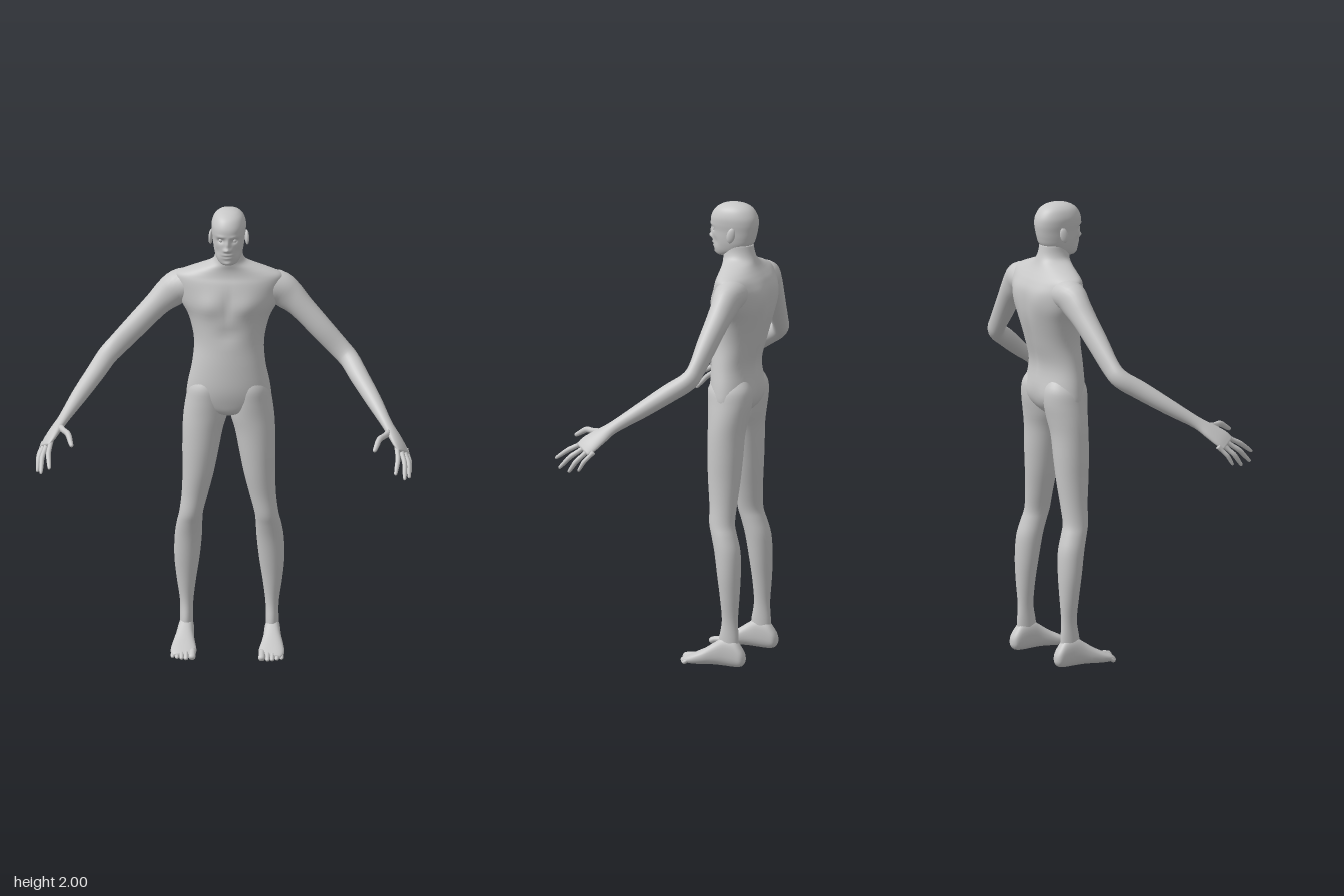
import * as THREE from 'three';

const skin = new THREE.MeshStandardMaterial({ color: 0xc8c8c8 });
skin.name = 'skin grey';

// Catmull-Rom smoothing of rows of numbers, k steps per span
function smooth(rows, k) {
  const out = [], last = rows.length - 1;
  const at = i => rows[Math.max(0, Math.min(last, i))];
  for (let i = 0; i < last; i++) for (let s = 0; s < k; s++) {
    const t = s / k, [a, b, c, d] = [at(i - 1), at(i), at(i + 1), at(i + 2)];
    out.push(b.map((p, j) => {
      const cubic = 3 * (p - c[j]) + d[j] - a[j];
      const square = 2 * a[j] - 5 * p + 4 * c[j] - d[j];
      return p + 0.5 * t * (c[j] - a[j] + t * (square + t * cubic));
    }));
  }
  out.push(rows[last]);
  return out;
}

// Skin a list of rings (arrays of Vector3) and close both ends
function skinRings(rings) {
  const n = rings[0].length, m = rings.length, pos = [], idx = [];
  rings.forEach(r => r.forEach(p => pos.push(p.x, p.y, p.z)));
  for (let i = 0; i < m - 1; i++) for (let j = 0; j < n; j++) {
    const a = i * n + j, b = i * n + (j + 1) % n;
    idx.push(a, a + n, b, b, a + n, b + n);
  }
  [0, m - 1].forEach((r, e) => {
    const c = new THREE.Vector3();
    rings[r].forEach(p => c.addScaledVector(p, 1 / n));
    const ci = pos.length / 3;
    pos.push(c.x, c.y, c.z);
    for (let j = 0; j < n; j++) {
      const a = r * n + j, b = r * n + (j + 1) % n;
      if (e) idx.push(a, ci, b); else idx.push(a, b, ci);
    }
  });
  const g = new THREE.BufferGeometry();
  g.setAttribute('position', new THREE.Float32BufferAttribute(pos, 3));
  g.setIndex(idx);
  g.computeVertexNormals();
  return g;
}

const power = (v, e) => Math.sign(v) * Math.abs(v) ** (2 / e);

// Rows: [station, x0, x1, b0, b1]; upright sections span x/z, lying ones x/y
function loft(rows, n, k, upright = true, e = 2) {
  return skinRings(smooth(rows, k).map(([s, x0, x1, b0, b1]) =>
    Array.from({ length: n }, (_, j) => {
      const t = j / n * Math.PI * 2;
      const x = (x0 + x1) / 2 + (x1 - x0) / 2 * power(Math.cos(t), e);
      const b = (b0 + b1) / 2 + (b1 - b0) / 2 * power(Math.sin(t), e);
      return upright ? new THREE.Vector3(x, s, b) : new THREE.Vector3(x, b, s);
    })));
}

// Rows: [x, y, z, radius across, radius through]; 'across' sets the wide axis
function limb(rows, across, n, k) {
  const r = smooth(rows, k), P = r.map(q => new THREE.Vector3(q[0], q[1], q[2]));
  return skinRings(r.map((q, i) => {
    const d = P[Math.min(i + 1, P.length - 1)].clone().sub(P[Math.max(i - 1, 0)]).normalize();
    const u = across.clone().addScaledVector(d, -across.dot(d)).normalize();
    const v = u.clone().cross(d);
    return Array.from({ length: n }, (_, j) => {
      const t = j / n * Math.PI * 2;
      return P[i].clone().addScaledVector(u, q[3] * Math.cos(t)).addScaledVector(v, q[4] * Math.sin(t));
    });
  }));
}

// Push soft bumps in z: [x, y, width, height, amount, side], mirrored in x
function sculpt(g, midZ, bumps) {
  const p = g.attributes.position;
  for (let i = 0; i < p.count; i++) {
    const x = Math.abs(p.getX(i)), y = p.getY(i), z = p.getZ(i);
    let dz = 0;
    for (const [bx, by, w, h, amount, side] of bumps) {
      const f = Math.min(1, Math.max(0, (z - midZ) * side / 0.05));
      const dx = (x - bx) / w, dy = (y - by) / h;
      dz += f * amount * Math.exp(-dx * dx - dy * dy);
    }
    p.setZ(i, z + dz);
  }
  g.computeVertexNormals();
  return g;
}

function mirrored(g) {
  const m = g.clone(), a = m.index.array;
  m.scale(-1, 1, 1);
  for (let i = 0; i < a.length; i += 3) [a[i + 1], a[i + 2]] = [a[i + 2], a[i + 1]];
  m.computeVertexNormals();
  return m;
}

export function createModel() {
  const model = new THREE.Group();
  model.name = 'standing figure';
  const add = (name, g) => {
    const mesh = new THREE.Mesh(g, skin);
    mesh.name = name;
    model.add(mesh);
  };
  const pair = (name, g) => { add('left' + name, g); add('right' + name, mirrored(g)); };
  const sym = rows => rows.map(([y, w, f, b]) => [y, -w, w, b, f]);

  // Torso and neck
  const torso = loft(sym([
    [1.07, 0.03, -0.15, -0.22], [1.09, 0.1, -0.115, -0.25], [1.13, 0.175, -0.1, -0.28],
    [1.2, 0.177, -0.088, -0.292], [1.3, 0.157, -0.09, -0.285], [1.4, 0.15, -0.098, -0.312],
    [1.5, 0.172, -0.102, -0.338], [1.57, 0.208, -0.105, -0.346], [1.63, 0.225, -0.112, -0.344],
    [1.67, 0.232, -0.122, -0.328], [1.695, 0.225, -0.132, -0.312], [1.715, 0.185, -0.136, -0.298],
    [1.735, 0.13, -0.136, -0.286], [1.757, 0.077, -0.132, -0.277], [1.785, 0.06, -0.13, -0.268],
    [1.82, 0.056, -0.13, -0.262],
  ]), 64, 4);
  add('torso', sculpt(torso, -0.21, [
    [0.08, 1.575, 0.055, 0.05, 0.014, 1], [0, 1.58, 0.018, 0.07, -0.006, 1],
    [0, 1.45, 0.05, 0.03, -0.008, 1], [0, 1.4, 0.02, 0.18, 0.012, -1],
    [0.09, 1.6, 0.045, 0.07, -0.008, -1], [0.08, 1.16, 0.06, 0.05, -0.01, -1],
  ]));

  // Head with a sculpted face
  const head = loft(sym([
    [1.764, 0.015, -0.115, -0.15], [1.772, 0.036, -0.1, -0.18], [1.79, 0.051, -0.09, -0.23],
    [1.82, 0.061, -0.083, -0.262], [1.85, 0.066, -0.081, -0.274], [1.88, 0.069, -0.079, -0.281],
    [1.91, 0.073, -0.074, -0.285], [1.94, 0.073, -0.077, -0.281], [1.97, 0.063, -0.094, -0.264],
    [1.988, 0.046, -0.12, -0.24], [1.997, 0.025, -0.15, -0.21], [2.0, 0.004, -0.177, -0.185],
  ]), 96, 6, true, 2.2);
  add('head', sculpt(head, -0.16, [
    [0, 1.868, 0.009, 0.022, 0.013, 1], [0, 1.845, 0.012, 0.009, 0.016, 1],
    [0.012, 1.842, 0.007, 0.006, 0.006, 1], [0.03, 1.884, 0.014, 0.01, -0.013, 1],
    [0.028, 1.904, 0.018, 0.006, 0.004, 1], [0, 1.82, 0.02, 0.005, 0.007, 1],
    [0, 1.813, 0.022, 0.003, -0.005, 1], [0, 1.806, 0.017, 0.005, 0.006, 1],
    [0, 1.779, 0.02, 0.01, 0.008, 1], [0.045, 1.83, 0.013, 0.02, -0.007, 1],
  ]));
  pair('Eye', new THREE.SphereGeometry(0.01, 16, 12).translate(0.029, 1.884, -0.1));
  pair('Ear', new THREE.SphereGeometry(1, 16, 12).scale(0.009, 0.033, 0.018)
    .rotateX(-0.2).rotateY(0.3).translate(0.077, 1.868, -0.192));

  // Arm running from the shoulder to the knuckles
  const across = new THREE.Vector3(0.04, -0.035, -0.07).normalize();
  pair('Arm', limb([
    [0.1, 1.645, -0.235, 0.08, 0.06], [0.2, 1.632, -0.235, 0.068, 0.072],
    [0.255, 1.595, -0.233, 0.056, 0.068], [0.31, 1.545, -0.225, 0.05, 0.055],
    [0.4, 1.45, -0.208, 0.042, 0.05], [0.475, 1.37, -0.195, 0.034, 0.046],
    [0.52, 1.325, -0.173, 0.038, 0.043], [0.565, 1.275, -0.1, 0.04, 0.04],
    [0.63, 1.205, 0.0, 0.034, 0.034], [0.69, 1.138, 0.1, 0.028, 0.023],
    [0.725, 1.1, 0.15, 0.04, 0.02], [0.752, 1.068, 0.19, 0.048, 0.016],
    [0.77, 1.047, 0.213, 0.042, 0.008],
  ], across, 28, 4));

  // Fingers: base, middle joint, tip
  const fingers = {
    Thumb: [[0.705, 1.115, 0.16], [0.667, 1.11, 0.235], [0.648, 1.075, 0.295]],
    IndexFinger: [[0.742, 1.073, 0.215], [0.749, 1.035, 0.285], [0.742, 0.99, 0.348]],
    MiddleFinger: [[0.757, 1.06, 0.2], [0.777, 1.012, 0.265], [0.78, 0.957, 0.317]],
    RingFinger: [[0.77, 1.048, 0.183], [0.793, 1.0, 0.23], [0.797, 0.948, 0.266]],
    LittleFinger: [[0.777, 1.042, 0.158], [0.795, 1.0, 0.195], [0.8, 0.957, 0.22]],
  };
  const mix = (p, q, t) => p.map((v, i) => v + (q[i] - v) * t);
  for (const [name, [a, b, c]] of Object.entries(fingers)) {
    const w = name === 'Thumb' ? 1.2 : name === 'LittleFinger' ? 0.88 : 1;
    pair(name, limb([
      [...a, 0.013 * w, 0.012 * w], [...mix(a, b, 0.5), 0.0105 * w, 0.01 * w],
      [...b, 0.011 * w, 0.0105 * w], [...mix(b, c, 0.6), 0.009 * w, 0.009 * w],
      [...mix(b, c, 0.93), 0.0065 * w, 0.0065 * w], [...c, 0.002, 0.002],
    ], across, 12, 3));
  }

  // Leg from ankle to hip: height, inner x, outer x, back z, front z
  pair('Leg', loft([
    [0.05, 0.155, 0.213, -0.268, -0.18], [0.12, 0.155, 0.211, -0.27, -0.182],
    [0.2, 0.154, 0.211, -0.266, -0.195], [0.3, 0.142, 0.225, -0.272, -0.188],
    [0.4, 0.127, 0.235, -0.276, -0.175], [0.5, 0.117, 0.233, -0.272, -0.16],
    [0.57, 0.114, 0.223, -0.254, -0.143], [0.62, 0.11, 0.212, -0.242, -0.13],
    [0.7, 0.09, 0.202, -0.245, -0.125], [0.8, 0.065, 0.198, -0.254, -0.114],
    [0.9, 0.045, 0.199, -0.261, -0.108], [1.0, 0.026, 0.198, -0.266, -0.106],
    [1.07, 0.006, 0.194, -0.278, -0.104], [1.14, 0.002, 0.184, -0.291, -0.1],
    [1.2, 0.01, 0.172, -0.29, -0.1], [1.25, 0.03, 0.14, -0.265, -0.12],
  ], 36, 4));

  // Foot from ball to heel: z, inner x, outer x, sole, instep
  pair('Foot', loft([
    [-0.03, 0.145, 0.228, 0.008, 0.026], [-0.05, 0.135, 0.24, 0.004, 0.038],
    [-0.08, 0.133, 0.243, 0.002, 0.053], [-0.12, 0.14, 0.237, 0.003, 0.073],
    [-0.165, 0.148, 0.226, 0.004, 0.102], [-0.21, 0.15, 0.219, 0.002, 0.128],
    [-0.255, 0.152, 0.216, 0.0, 0.118], [-0.285, 0.156, 0.213, 0.004, 0.082],
    [-0.298, 0.168, 0.202, 0.018, 0.058], [-0.301, 0.18, 0.19, 0.03, 0.045],
  ], 28, 4, false, 2.4));

  // Toes, the big one on the inside
  for (let i = 0; i < 5; i++) {
    const r = i ? 0.0105 - i * 0.0004 : 0.0155, x = i ? 0.155 + i * 0.0195 : 0.149;
    const tip = -0.001 - 0.0018 * i * i;
    pair('Toe' + (i + 1), limb([
      [x, 0.026, -0.07, r, r], [x, 0.024, tip - 0.03, r * 0.9, r * 0.9],
      [x, r + 0.003, tip - 0.012, r, r * 0.95], [x, r + 0.001, tip - 0.003, r * 0.7, r * 0.6],
      [x, r, tip, 0.002, 0.002],
    ], new THREE.Vector3(1, 0, 0), 12, 3));
  }
  return model;
}
